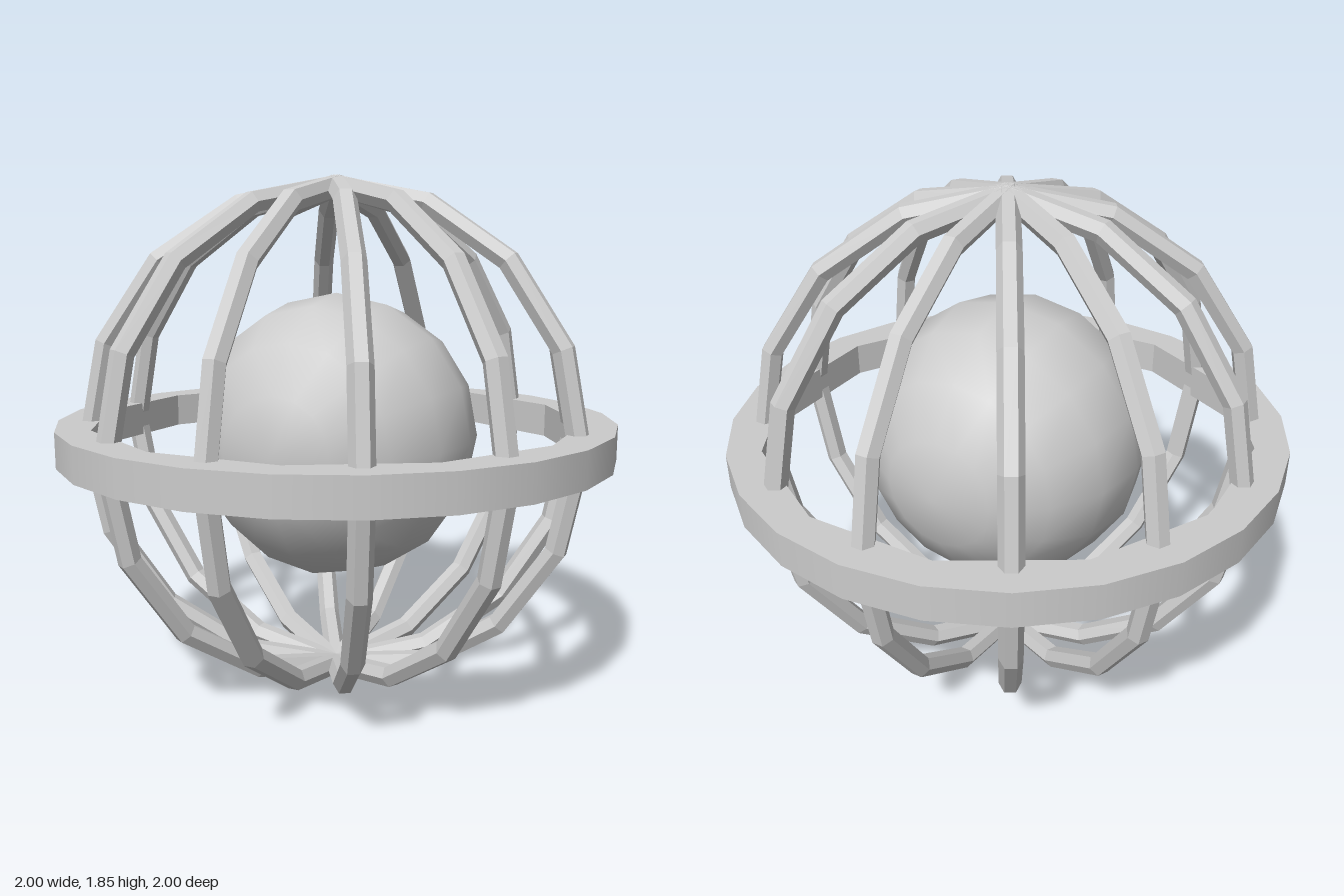
import * as THREE from 'three';

const CENTER_Y = 0.925;

export function createModel() {
  const model = new THREE.Group();
  model.name = 'cagedSphere';
  const grey = new THREE.MeshStandardMaterial({ color: 0xcccccc });
  grey.name = 'light grey';
  const greyFaceted = new THREE.MeshStandardMaterial({ color: 0xcccccc, flatShading: true });
  greyFaceted.name = 'light grey faceted';

  const add = (parent, name, geometry, material) => {
    const mesh = new THREE.Mesh(geometry, material);
    mesh.name = name;
    parent.add(mesh);
    return mesh;
  };

  // Smooth core with its poles along z
  const coreGeometry = new THREE.SphereGeometry(0.515, 16, 8).rotateX(Math.PI / 2);
  add(model, 'core', coreGeometry, grey).position.y = CENTER_Y;

  // Cage: six hoops with a hexagonal section, flat side outward
  const cage = new THREE.Group();
  cage.name = 'cage';
  cage.position.y = CENTER_Y;
  model.add(cage);
  const tube = 0.04;
  const hoopRadius = 0.925 - tube * Math.cos(Math.PI / 6);
  const section = [];
  for (let i = 0; i <= 6; i++) {
    const a = Math.PI / 6 + (i * Math.PI) / 3;
    section.push(new THREE.Vector2(hoopRadius + tube * Math.cos(a), tube * Math.sin(a)));
  }
  const hoopGeometry = new THREE.LatheGeometry(section, 16).rotateX(Math.PI / 2);
  for (let i = 0; i < 6; i++) {
    add(cage, 'hoop' + (i + 1), hoopGeometry, greyFaceted).rotation.y = (i * Math.PI) / 6;
  }

  // Equator band: 24-sided outside, 12-sided opening
  const band = new THREE.Group();
  band.name = 'equatorBand';
  band.position.y = 0.927;
  model.add(band);
  const half = 0.0625;
  const inner = 0.88;
  const wall = (r, from, to, sides, start) => new THREE.LatheGeometry(
    [new THREE.Vector2(r, from), new THREE.Vector2(r, to)], sides, start);
  add(band, 'bandOuterWall', wall(1, -half, half, 24, 0), grey);
  add(band, 'bandInnerWall', wall(inner, half, -half, 12, Math.PI / 12), greyFaceted);

  const polygon = (r, sides, start) => Array.from({ length: sides }, (_, i) => {
    const a = start + (i * 2 * Math.PI) / sides;
    return new THREE.Vector2(r * Math.cos(a), r * Math.sin(a));
  });
  const face = new THREE.Shape(polygon(1, 24, 0));
  face.holes.push(new THREE.Path(polygon(inner, 12, Math.PI / 12)));
  for (const side of [1, -1]) {
    const cap = new THREE.ShapeGeometry(face).rotateX((-side * Math.PI) / 2);
    add(band, side > 0 ? 'bandTop' : 'bandBottom', cap, grey).position.y = side * half;
  }

  return model;
}
